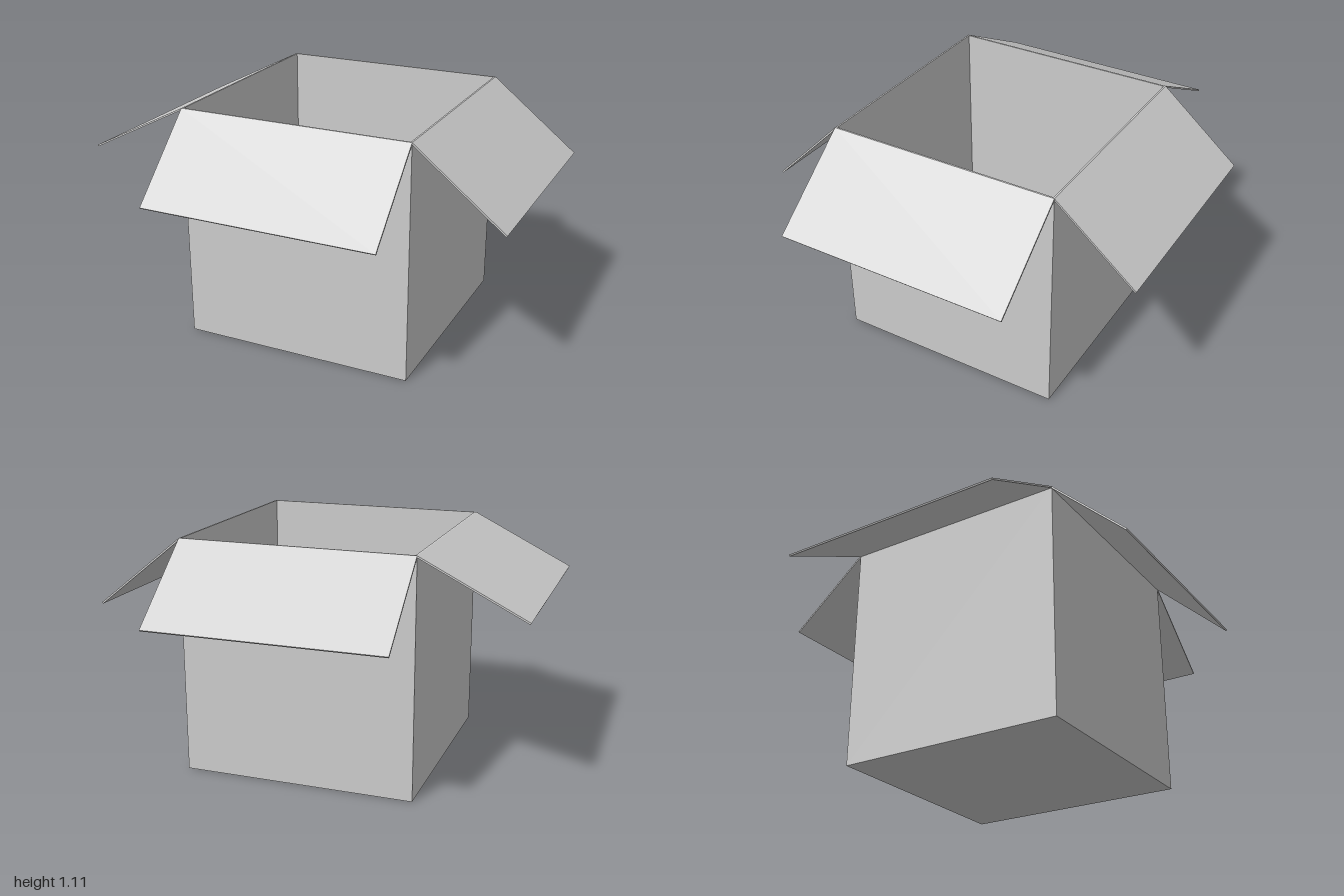
import * as THREE from 'three';

const T = 0.008; // board thickness
const H = 1.11; // wall height
const X0 = -0.517, X1 = 0.583, Z0 = -0.54, Z1 = 0.563;

export function createModel() {
  const root = new THREE.Group();
  root.name = 'openCarton';
  const material = new THREE.MeshStandardMaterial({ color: 0xcccccc, flatShading: true });
  const W = X1 - X0, D = Z1 - Z0;
  const cx = (X0 + X1) / 2, cz = (Z0 + Z1) / 2;

  const board = (name, w, h, d, x, y, z, parent = root) => {
    const mesh = new THREE.Mesh(new THREE.BoxGeometry(w, h, d), material);
    mesh.name = name;
    mesh.position.set(x, y, z);
    parent.add(mesh);
  };

  // Bottom and four upright walls
  board('bottom', W - 2 * T, T, D - 2 * T, cx, T / 2, cz);
  board('leftWall', T, H, D, X1 - T / 2, H / 2, cz);
  board('rightWall', T, H, D, X0 + T / 2, H / 2, cz);
  board('frontWall', W - 2 * T, H, T, cx, H / 2, Z1 - T / 2);
  board('backWall', W - 2 * T, H, T, cx, H / 2, Z0 + T / 2);

  // Flaps folded outward from the rim: hinge, yaw, outward reach, drop, width
  const flaps = [
    ['leftFlap', X1, cz, 0, 0.417, 0.332, D],
    ['rightFlap', X0, cz, Math.PI, 0.483, 0.243, D],
    ['frontFlap', cx, Z1, -Math.PI / 2, 0.357, 0.345, W],
    ['backFlap', cx, Z0, Math.PI / 2, 0.382, 0.322, W],
  ];
  for (const [name, x, z, yaw, reach, drop, width] of flaps) {
    const hinge = new THREE.Group();
    hinge.name = name + 'Hinge';
    hinge.position.set(x, H, z);
    hinge.rotation.set(0, yaw, -Math.atan2(drop, reach));
    const length = Math.hypot(reach, drop);
    board(name, length, T, width, length / 2, -T / 2, 0, hinge);
    root.add(hinge);
  }
  return root;
}
